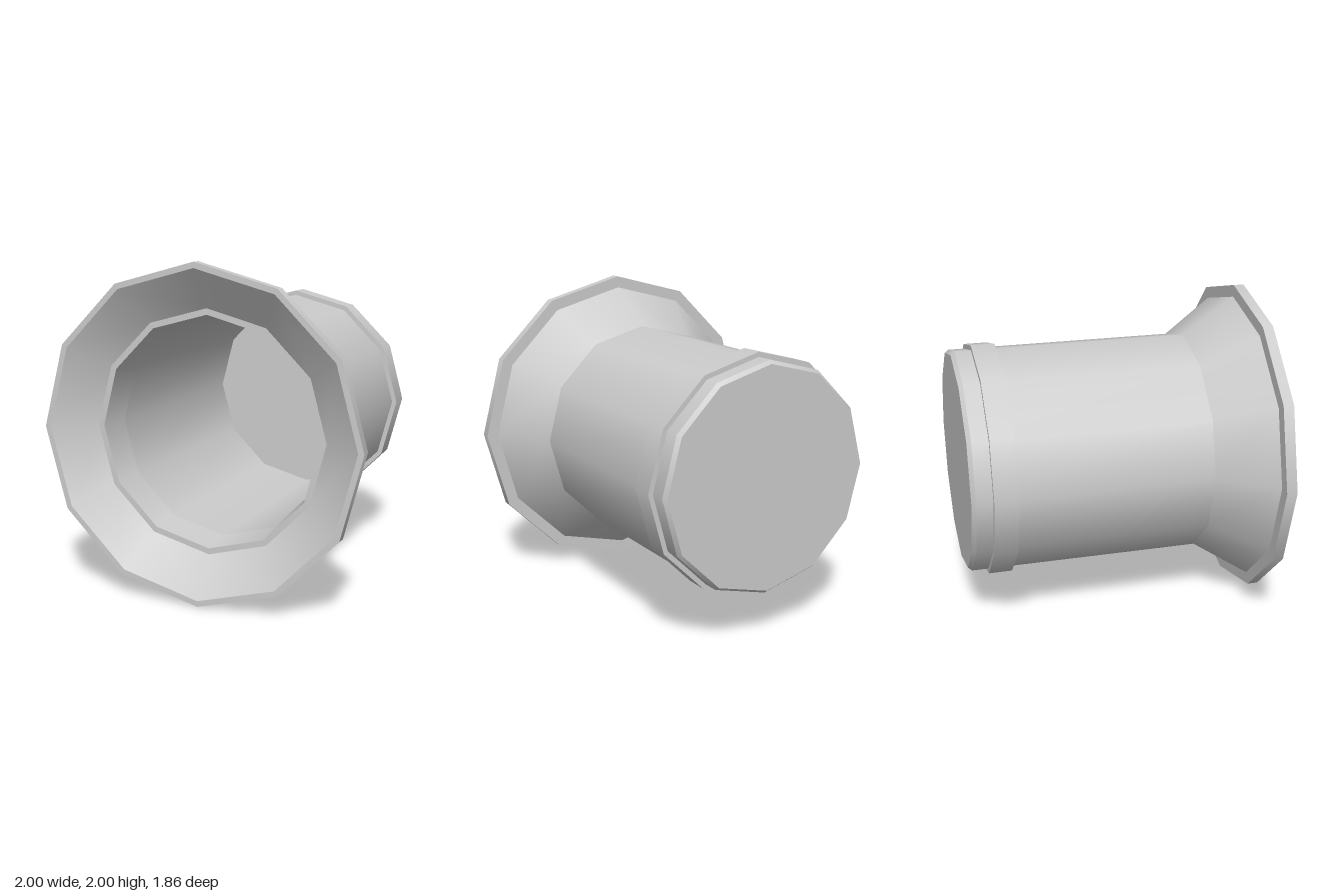
import * as THREE from 'three';
import { mergeGeometries } from 'three/addons/utils/BufferGeometryUtils.js';

const SIDES = 12;

// Turns a [radius, z] profile around the z axis: smooth around, sharp between bands.
// Outer faces run back to front, inner faces front to back.
function turned(name, profile, material) {
  const bands = [];
  for (let i = 0; i + 1 < profile.length; i++) {
    const points = [profile[i], profile[i + 1]].map(([r, z]) => new THREE.Vector2(r, z));
    bands.push(new THREE.LatheGeometry(points, SIDES));
  }
  const geometry = mergeGeometries(bands);
  geometry.rotateX(Math.PI / 2);
  const mesh = new THREE.Mesh(geometry, material);
  mesh.name = name;
  return mesh;
}

export function createModel() {
  const grey = new THREE.MeshStandardMaterial({ color: 0xcccccc });
  grey.name = 'plain grey';

  const model = new THREE.Group();
  model.name = 'flaredTube';

  // Closed barrel with a bevelled back edge
  const barrel = turned('barrel', [
    [0, -0.93], [0.68, -0.93], [0.7, -0.905], [0.7, 0.535],
  ], grey);

  // Hollow inside, with a tapered mouth
  const bore = turned('bore', [
    [0.73, 0.765], [0.693, 0.765], [0.67, 0.56], [0.67, -0.9], [0, -0.9],
  ], grey);

  // Raised band near the back
  const collar = turned('collar', [
    [0.7, -0.805], [0.73, -0.805], [0.73, -0.66], [0.7, -0.66],
  ], grey);

  // Flared cone, outside and inside
  const flareOutside = turned('flareOutside', [[0.7, 0.535], [0.925, 0.865]], grey);
  const flareInside = turned('flareInside', [[0.965, 0.93], [0.73, 0.765]], grey);

  // Flat lip around the opening
  const rim = turned('rim', [
    [0.925, 0.865], [1, 0.865], [1, 0.93], [0.965, 0.93],
  ], grey);

  model.add(barrel, bore, collar, flareOutside, flareInside, rim);
  for (const part of model.children) part.position.y = 1;
  return model;
}
